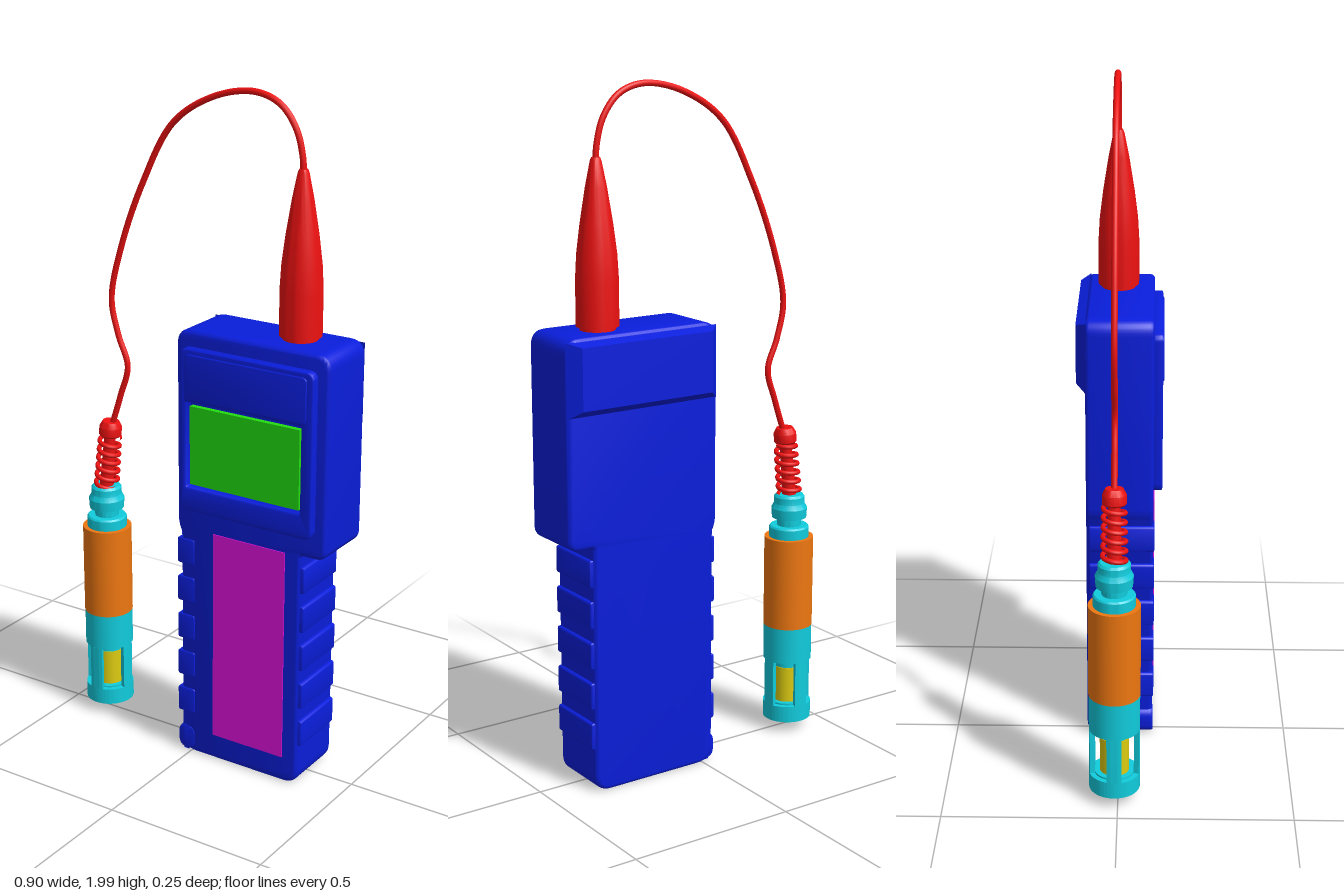
import * as THREE from 'three';
import { toCreasedNormals } from 'three/addons/utils/BufferGeometryUtils.js';

const paint = (color, side = THREE.FrontSide) => new THREE.MeshStandardMaterial({ color, side });
const BLUE = paint(0x0a1edc), GREEN = paint(0x22dd11), MAGENTA = paint(0xdd11dd), RED = paint(0xee1111);
const CYAN = paint(0x11ccdd), ORANGE = paint(0xee7711), YELLOW = paint(0xddcc11);
const CABLE_Z = -0.01, PROBE_X = -0.38, PLUG_X = 0.295;

function add(parent, name, geometry, material, x = 0, y = 0, z = 0) {
  const mesh = new THREE.Mesh(geometry, material);
  mesh.name = name;
  mesh.position.set(x, y, z);
  parent.add(mesh);
  return mesh;
}

// Closed outline from [x, y, cornerRadius] points
function roundedOutline(points, Type = THREE.Shape) {
  const shape = new Type();
  points.forEach(([x, y, r], i) => {
    const p = new THREE.Vector2(x, y);
    const toward = ([a, b]) => new THREE.Vector2(a, b).sub(p).setLength(r).add(p);
    const a = toward(points[(i + points.length - 1) % points.length]);
    const b = toward(points[(i + 1) % points.length]);
    if (i === 0) shape.moveTo(a.x, a.y); else shape.lineTo(a.x, a.y);
    shape.quadraticCurveTo(x, y, b.x, b.y);
  });
  shape.closePath();
  return shape;
}
const rect = (x0, y0, x1, y1, r, Type) =>
  roundedOutline([[x0, y0, r], [x1, y0, r], [x1, y1, r], [x0, y1, r]], Type);

// Extrusion between z0 and z1 whose bevel stays inside the outline
function slab(shape, z0, z1, bevel) {
  const g = new THREE.ExtrudeGeometry(shape, {
    depth: z1 - z0 - 2 * bevel, bevelEnabled: bevel > 0, bevelThickness: bevel,
    bevelSize: bevel, bevelOffset: -bevel, bevelSegments: 3, curveSegments: 8,
  });
  return toCreasedNormals(g.translate(0, 0, z0 + bevel), 0.6);
}

const turned = (profile, segments = 40) =>
  toCreasedNormals(new THREE.LatheGeometry(profile.map(([r, y]) => new THREE.Vector2(r, y)), segments), 0.5);

// Upright ring sector, from angle a0 to a1
function ringSector(rOut, rIn, a0, a1, y0, y1) {
  const s = new THREE.Shape();
  s.absarc(0, 0, rOut, a0, a1, false);
  s.absarc(0, 0, rIn, a1, a0, true);
  s.closePath();
  const g = new THREE.ExtrudeGeometry(s, { depth: y1 - y0, bevelEnabled: false, curveSegments: 16 });
  return toCreasedNormals(g.rotateX(-Math.PI / 2).translate(0, y0, 0), 0.5);
}

function createHousing() {
  const g = new THREE.Group();
  g.name = 'housing';
  // Wide head above a narrower handle
  const outline = roundedOutline([
    [-0.033, 0.005, 0.05], [0.37, 0.005, 0.05], [0.37, 0.735, 0.006], [0.45, 0.735, 0.035],
    [0.45, 1.33, 0.045], [-0.045, 1.33, 0.045], [-0.045, 0.735, 0.025], [-0.033, 0.715, 0.004],
  ]);
  add(g, 'case', slab(outline, -0.1, 0.097, 0.012), BLUE);

  // Grip ribs on both handle sides
  for (let i = 0; i < 5; i++) {
    const y0 = 0.135 + i * 0.121;
    add(g, 'leftGripRib', slab(rect(0.34, y0, 0.38, y0 + 0.08, 0.008), -0.092, 0.092, 0.004), BLUE);
    add(g, 'rightGripRib', slab(rect(-0.044, y0, 0.015, y0 + 0.08, 0.008), -0.092, 0.1, 0.004), BLUE);
  }
  add(g, 'lowerGrip', slab(rect(-0.044, 0.01, 0.015, 0.09, 0.03), -0.092, 0.0985, 0.006), BLUE);

  // Back bulge with chamfered sides and lower edge
  const bulge = new THREE.BoxGeometry(0.49, 0.21, 0.03).translate(0.2025, 1.217, -0.112);
  const p = bulge.attributes.position;
  for (let i = 0; i < p.count; i++) {
    if (p.getZ(i) > -0.11) continue;
    p.setX(i, 0.2025 + (p.getX(i) - 0.2025) * 0.87);
    p.setY(i, p.getY(i) > 1.2 ? 1.31 : 1.135);
  }
  add(g, 'backBulge', toCreasedNormals(bulge, 0.3), BLUE);

  // Raised display surround with a window
  const bezel = rect(-0.018, 0.8, 0.415, 1.285, 0.025);
  bezel.holes.push(rect(0.002, 0.872, 0.378, 1.128, 0.004, THREE.Path));
  add(g, 'displaySurround', slab(bezel, 0.09, 0.122, 0.006), BLUE);
  add(g, 'displayPanelLip', slab(rect(0, 1.135, 0.395, 1.27, 0.015), 0.115, 0.125, 0.003), BLUE);
  add(g, 'displayScreen', new THREE.BoxGeometry(0.36, 0.235, 0.02), GREEN, 0.19, 0.997, 0.103);
  add(g, 'keypad', new THREE.BoxGeometry(0.24, 0.65, 0.01), MAGENTA, 0.2, 0.41, 0.095);
  return g;
}

function createCable() {
  const g = new THREE.Group();
  g.name = 'cableAssembly';
  add(g, 'plugBoot', turned([
    [0, 1.32], [0.05, 1.32], [0.05, 1.34], [0.06, 1.34], [0.06, 1.47], [0.056, 1.54], [0.046, 1.62],
    [0.03, 1.72], [0.016, 1.79], [0.012, 1.8], [0, 1.8],
  ]), RED, PLUG_X, 0, CABLE_Z);

  const path = [
    [0.295, 1.78], [0.292, 1.83], [0.27, 1.905], [0.22, 1.965], [0.14, 1.99], [0.01, 1.965], [-0.125, 1.88],
    [-0.23, 1.7], [-0.31, 1.5], [-0.347, 1.34], [-0.325, 1.235], [-0.293, 1.145], [-0.32, 1.05], [-0.357, 0.94],
  ].map(([x, y]) => new THREE.Vector3(x, y, CABLE_Z));
  add(g, 'cable', new THREE.TubeGeometry(new THREE.CatmullRomCurve3(path), 140, 0.009, 10), RED);

  // Leaning coiled strain relief
  const relief = new THREE.Group();
  relief.name = 'strainRelief';
  relief.position.set(PROBE_X, 0.74, CABLE_Z);
  relief.rotation.z = -0.1;
  g.add(relief);
  add(relief, 'reliefCap', turned([[0, 0.175], [0.03, 0.175], [0.034, 0.18], [0.034, 0.205], [0.025, 0.222], [0, 0.222]], 24), RED);
  add(relief, 'reliefCore', new THREE.CylinderGeometry(0.017, 0.022, 0.19, 16), RED, 0, 0.09, 0);
  const coil = [];
  for (let i = 0; i <= 96; i++) {
    const t = i / 96, a = t * Math.PI * 12, r = 0.033 - 0.003 * t;
    coil.push(new THREE.Vector3(r * Math.cos(a), 0.008 + 0.165 * t, r * Math.sin(a)));
  }
  add(relief, 'reliefCoil', new THREE.TubeGeometry(new THREE.CatmullRomCurve3(coil), 192, 0.007, 8), RED);
  return g;
}

function createProbe() {
  const g = new THREE.Group();
  g.name = 'probe';
  g.position.set(PROBE_X, 0, CABLE_Z);
  add(g, 'probeCollar', turned([
    [0, 0.61], [0.06, 0.61], [0.06, 0.65], [0.056, 0.655], [0.036, 0.655], [0.036, 0.675], [0.052, 0.68],
    [0.054, 0.71], [0.046, 0.725], [0.046, 0.745], [0.04, 0.752], [0, 0.752],
  ]), CYAN);
  add(g, 'probeSleeve', new THREE.CylinderGeometry(0.074, 0.074, 0.28, 40), ORANGE, 0, 0.48, 0);
  add(g, 'probeBody', new THREE.CylinderGeometry(0.073, 0.073, 0.11, 40), CYAN, 0, 0.285, 0);

  // Open cage: four bars between the body and the end ring
  const halfBar = 0.3;
  for (let i = 0; i < 4; i++) {
    const a = i * Math.PI / 2;
    add(g, 'cageBar', ringSector(0.073, 0.058, a - halfBar, a + halfBar, 0.09, 0.23), CYAN);
    add(g, 'endRing', ringSector(0.073, 0.058, a, a + Math.PI / 2, 0.04, 0.09), CYAN);
  }
  add(g, 'sensorBase', new THREE.CylinderGeometry(0.058, 0.058, 0.02, 32), CYAN, 0, 0.085, 0);
  add(g, 'sensor', new THREE.CylinderGeometry(0.042, 0.042, 0.11, 24), YELLOW, 0, 0.15, 0);
  add(g, 'sensorMount', new THREE.CylinderGeometry(0.04, 0.04, 0.04, 24), CYAN, 0, 0.215, 0);
  return g;
}

export function createModel() {
  const model = new THREE.Group();
  model.name = 'handheldMeter';
  model.add(createHousing(), createCable(), createProbe());
  return model;
}
